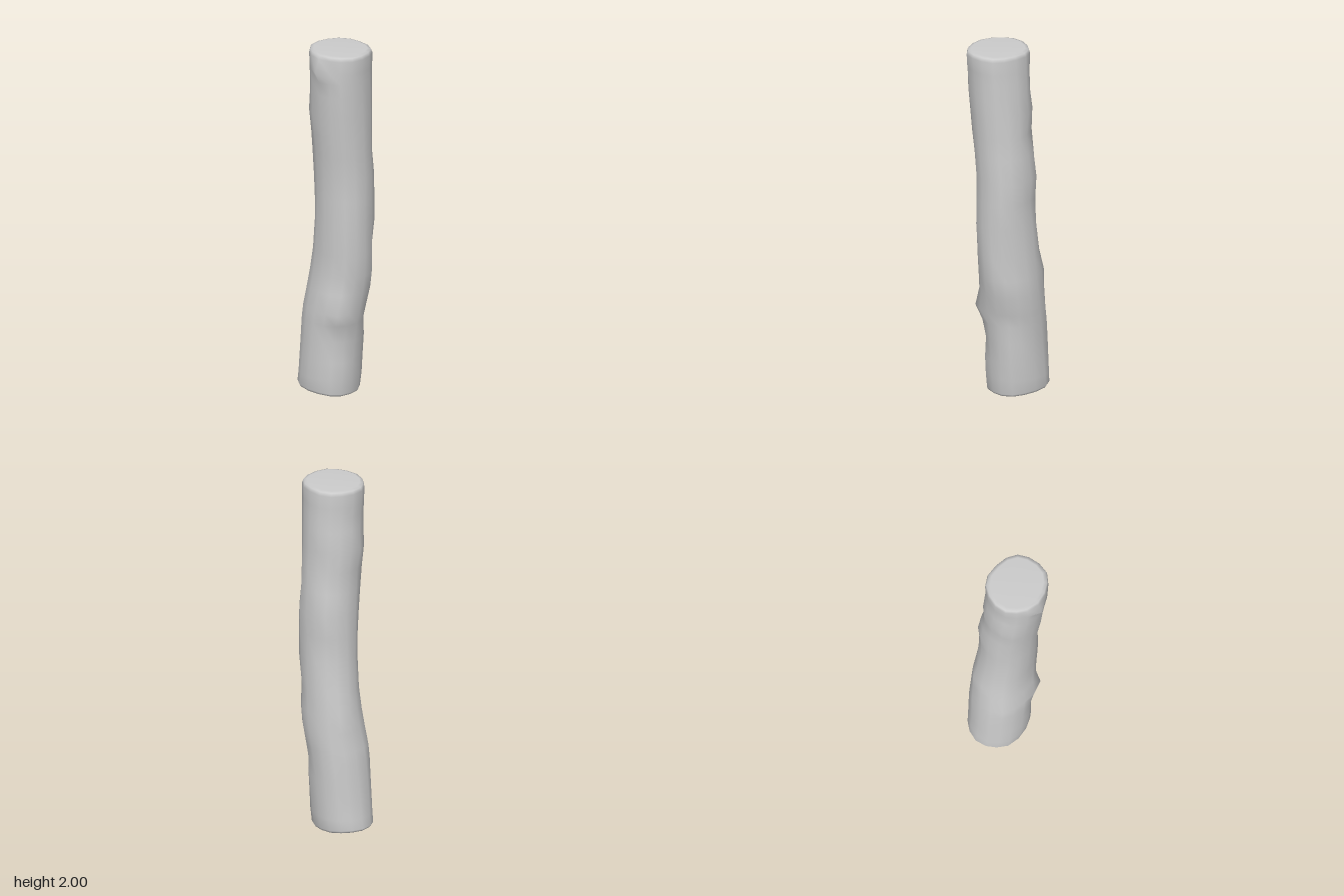
import * as THREE from 'three';

const SIDES = 16;

// Trunk sections: [y, minX, maxX, minZ, maxZ]
const SECTIONS = [
  [0.015, -0.235, 0.115, -0.17, 0.14],
  [0.10, -0.225, 0.122, -0.175, 0.145],
  [0.20, -0.215, 0.13, -0.175, 0.145],
  [0.32, -0.203, 0.142, -0.18, 0.142],
  [0.42, -0.193, 0.153, -0.188, 0.14],
  [0.49, -0.185, 0.165, -0.192, 0.135],
  [0.60, -0.17, 0.18, -0.20, 0.12],
  [0.70, -0.158, 0.193, -0.198, 0.11],
  [0.82, -0.143, 0.20, -0.193, 0.107],
  [1.00, -0.125, 0.205, -0.185, 0.115],
  [1.14, -0.12, 0.205, -0.187, 0.118],
  [1.27, -0.117, 0.207, -0.19, 0.122],
  [1.40, -0.112, 0.21, -0.177, 0.13],
  [1.52, -0.112, 0.213, -0.174, 0.142],
  [1.64, -0.12, 0.216, -0.168, 0.152],
  [1.76, -0.112, 0.22, -0.16, 0.165],
  [1.84, -0.111, 0.222, -0.155, 0.17],
  [1.90, -0.112, 0.226, -0.15, 0.174],
  [1.975, -0.114, 0.232, -0.148, 0.175],
];

// Knots and hollows: [angle, y, angular spread, height spread, offset]
const KNOTS = [
  [0.75, 0.50, 0.40, 0.07, 0.035],
  [0.65, 0.32, 0.45, 0.07, -0.014],
  [1.57, 1.90, 0.25, 0.035, 0.026],
  [2.7, 1.66, 0.35, 0.06, 0.012],
  [4.0, 1.52, 0.5, 0.06, -0.014],
  [4.3, 1.14, 0.45, 0.06, -0.013],
  [3.6, 0.72, 0.4, 0.07, 0.012],
  [5.5, 0.82, 0.4, 0.09, -0.014],
  [5.4, 0.44, 0.5, 0.07, -0.014],
];

function knotOffset(angle, y) {
  let sum = 0;
  for (const [a, h, da, dh, amount] of KNOTS) {
    const turn = Math.atan2(Math.sin(angle - a), Math.cos(angle - a));
    sum += amount * Math.exp(-((turn / da) ** 2) - ((y - h) / dh) ** 2);
  }
  // shallow bark waviness, fading out on the four widest directions
  return sum + 0.006 * Math.sin(2 * angle) * Math.sin(7 * y + 3 * angle);
}

function ring([y, x0, x1, z0, z1], scale = 1, lift = 0) {
  const points = [];
  for (let i = 0; i < SIDES; i++) {
    const t = (i / SIDES) * Math.PI * 2;
    const c = Math.cos(t), s = Math.sin(t);
    const r = knotOffset(t, y);
    const square = (v) => Math.sign(v) * Math.abs(v) ** 0.93;
    const tilt = y < 0.05 ? 0.015 * (1 - scale * c) : 0;
    points.push(
      (x0 + x1) / 2 + scale * (square(c) * (x1 - x0) / 2 + c * r),
      y + lift + tilt,
      (z0 + z1) / 2 + scale * (square(s) * (z1 - z0) / 2 + s * r),
    );
  }
  return points;
}

function trunkGeometry() {
  const first = SECTIONS[0], last = SECTIONS[SECTIONS.length - 1];
  // end caps are rings shrinking to the centre, with a narrow worn rim
  const rings = [
    ring(first, 0, 0.002),
    ring(first, 0.85, -0.008),
    ring(first, 0.96, -0.012),
    ...SECTIONS.map((section) => ring(section)),
    ring(last, 0.96, 0.02),
    ring(last, 0.85, 0.025),
    ring(last, 0, 0.025),
  ];
  const index = [];
  for (let j = 0; j < rings.length - 1; j++) {
    for (let i = 0; i < SIDES; i++) {
      const next = (i + 1) % SIDES;
      const a = j * SIDES + i, b = j * SIDES + next;
      const c = a + SIDES, d = b + SIDES;
      if (j < rings.length - 2) index.push(a, c, d);
      if (j > 0) index.push(a, d, b);
    }
  }
  const geometry = new THREE.BufferGeometry();
  geometry.setAttribute('position', new THREE.Float32BufferAttribute(rings.flat(), 3));
  geometry.setIndex(index);
  geometry.computeVertexNormals();
  return geometry;
}

export function createModel() {
  const model = new THREE.Group();
  model.name = 'log';
  const trunk = new THREE.Mesh(
    trunkGeometry(),
    new THREE.MeshStandardMaterial({ color: 0xcccccc }),
  );
  trunk.name = 'trunk';
  model.add(trunk);
  return model;
}
